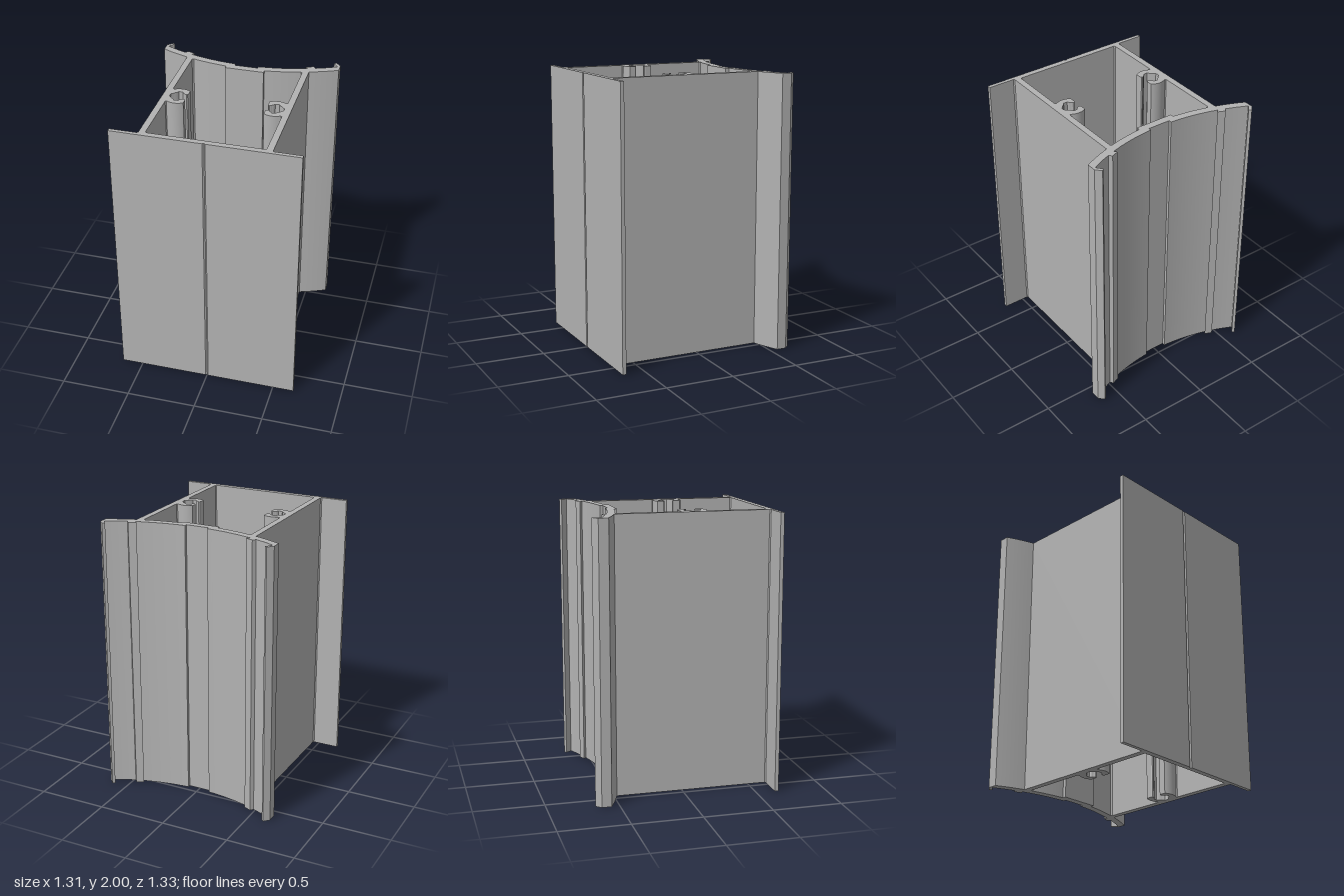
import * as THREE from 'three';
import { toCreasedNormals } from 'three/addons/utils/BufferGeometryUtils.js';

const HEIGHT = 2;

// Points along a circle, z = cz + r * sin(angle), between two x values (side +1 is towards the front)
function arc(cx, cz, r, x0, x1, side, n) {
  const a0 = Math.acos((x0 - cx) / r), a1 = Math.acos((x1 - cx) / r);
  return Array.from({ length: n + 1 }, (_, i) => {
    const a = a0 + (a1 - a0) * i / n;
    return [cx + r * Math.cos(a), cz + side * r * Math.sin(a)];
  });
}

// Concave back plate: two concentric arcs
const BACK_Z = -1.897;
const backOuter = (x0, x1, n) => arc(0, BACK_Z, 1.436, x0, x1, 1, n);
const backInner = (x0, x1, n) => arc(0, BACK_Z, 1.49, x0, x1, 1, n);

// Closes a +x half outline by mirroring it; points are [x, z]
function mirrored(half) {
  const other = half.filter(([x]) => x > 1e-6).map(([x, z]) => [-x, z]).reverse();
  return [...half, ...other].map(([x, z]) => new THREE.Vector2(x, -z));
}

export function createModel() {
  const aluminium = new THREE.MeshStandardMaterial({ color: 0xb2b2b2 });
  aluminium.name = 'aluminium grey';

  // Outer outline, from the front groove round to the back recess
  const outer = [
    [0, 0.655], [0.01, 0.664],
    [0.653, 0.664], [0.653, 0.637], [0.461, 0.637], [0.453, 0.629], // front flange
    ...backInner(0.453, 0.653, 6),                                   // side wall to back wing
    [0.653, -0.628], [0.617, -0.666], [0.6, -0.652],                 // hooked lip
    ...backOuter(0.635, 0.487, 4),
    [0.469, -0.568], [0.416, -0.546],                                // small rib
    ...backOuter(0.434, 0.085, 10),
    [0.085, -0.442], [0, -0.442],                                    // recess
  ];

  // Screw channel: one half, [x, distance from its centre line]
  const cx = 0.342, cz = 0.098;
  const clip = [
    [0.408, 0.094], [0.402, 0.088],
    ...arc(cx, 0, 0.104, 0.39, 0.282, 1, 8),
    [0.282, 0.042], [0.286, 0.034], [0.294, 0.03], [0.302, 0.032],
    [0.31, 0.041], [0.32, 0.047], [0.328, 0.06], [0.357, 0.06],
    [0.365, 0.047], [0.38, 0.036], [0.39, 0.024], [0.4, 0.016], [0.404, 0],
  ];
  const clipFront = clip.map(([x, d]) => [x, cz + d]);
  const clipBack = clip.slice(0, -1).reverse().map(([x, d]) => [x, cz - d]);

  // Inner chamber outline with both screw channels
  const inner = [
    [0, 0.623], [0.4, 0.623], [0.408, 0.615],
    ...clipFront, ...clipBack,
    [0.408, -0.452],
    ...backInner(0.398, 0.141, 8),
    [0.141, -0.388], [0, -0.388],                                    // thickened pad
  ];

  const profile = new THREE.Shape(mirrored(outer));
  profile.holes.push(new THREE.Path(mirrored(inner)));

  // Extrude upwards, keeping the arcs smooth and the corners sharp
  const solid = new THREE.ExtrudeGeometry(profile, { depth: HEIGHT, bevelEnabled: false });
  solid.rotateX(-Math.PI / 2);
  const mesh = new THREE.Mesh(toCreasedNormals(solid, 0.4), aluminium);
  mesh.name = 'extrudedProfile';

  const group = new THREE.Group();
  group.name = 'framingProfile';
  group.add(mesh);
  return group;
}
